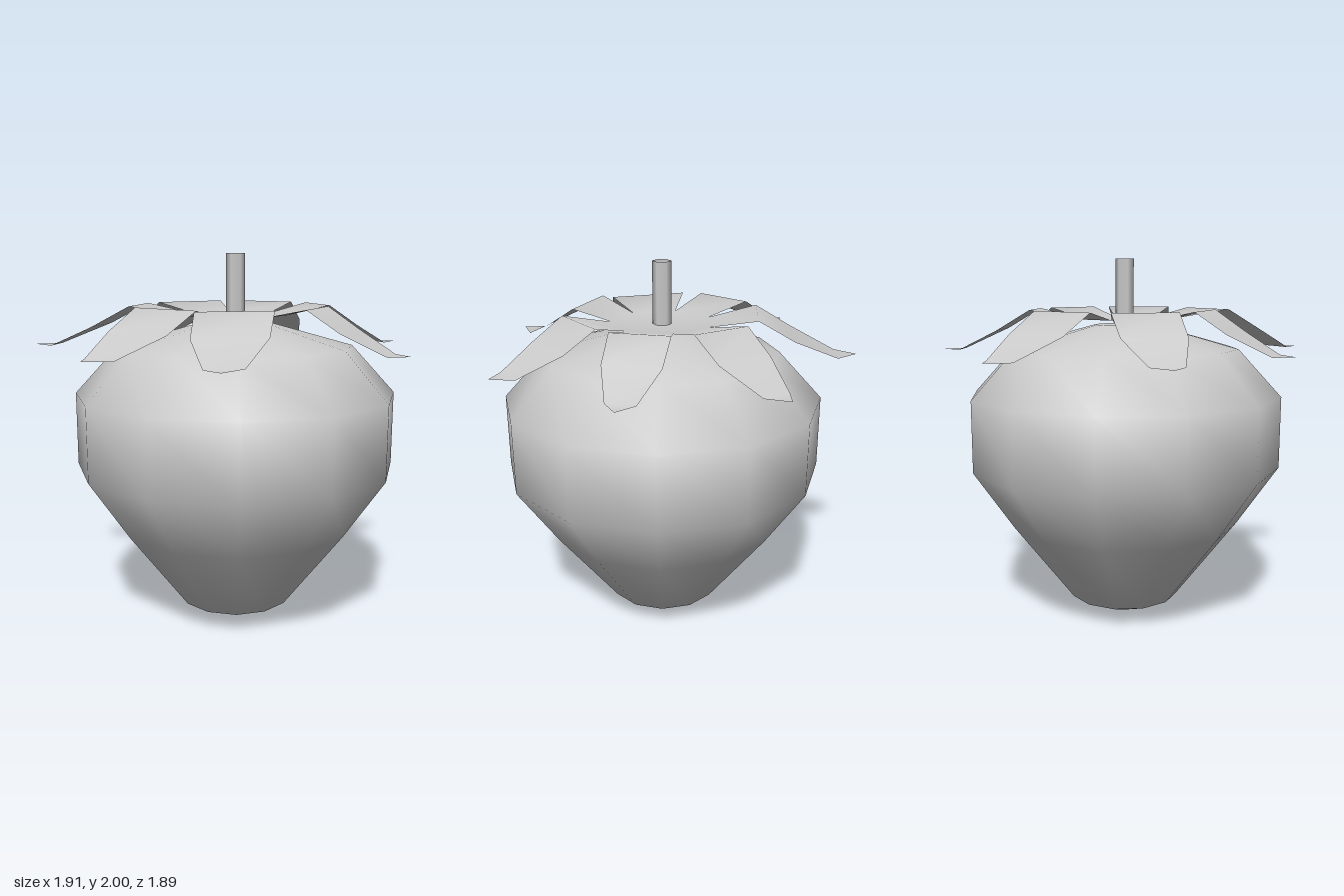
import * as THREE from 'three';

const CX = -0.01, CZ = 0.085; // axis of fruit and stem

const material = () => new THREE.MeshStandardMaterial({ color: 0xcccccc, side: THREE.DoubleSide });

// Twelve-sided smooth fruit body
function createFruit() {
  const profile = [
    [0, 0], [0.04, 0], [0.305, 0.11], [0.64, 0.55], [0.86, 0.875],
    [0.86, 1.265], [0.625, 1.52], [0.16, 1.648], [0, 1.65],
  ].map(([r, y]) => new THREE.Vector2(r, y));
  const fruit = new THREE.Mesh(new THREE.LatheGeometry(profile, 12), material());
  fruit.name = 'fruit';
  fruit.position.set(CX, 0, CZ);
  return fruit;
}

// Open six-sided stem
function createStem() {
  const stem = new THREE.Mesh(new THREE.CylinderGeometry(0.05, 0.05, 0.35, 6, 1, true), material());
  stem.name = 'stem';
  stem.position.set(CX, 1.825, CZ);
  return stem;
}

// One thin sheet: a dished centre with seven pointed leaves
function createLeaves() {
  // tip x, tip z, heading of the blade, full width
  const leaves = [
    [0.48, 0.91, 0.61, 0.36],
    [0.95, 0.26, 1.36, 0.31],
    [0.80, -0.52, 2.16, 0.32],
    [-0.01, -0.95, 3.11, 0.40],
    [-0.87, -0.63, 3.96, 0.34],
    [-0.96, 0.27, 5.04, 0.42],
    [-0.60, 0.93, 5.95, 0.39],
  ];
  // fraction along the leaf, width factor, height
  const sections = [[0.32, 1, 1.73], [0.56, 0.95, 1.62], [0.86, 0.48, 1.51]];
  const n = leaves.length;
  const positions = [CX, 1.67, CZ];
  const index = [];
  const add = (x, y, z) => positions.push(x, y, z) / 3 - 1;

  // Notches between neighbouring leaves
  const notch = leaves.map((_, k) => {
    const a = (k / n) * Math.PI * 2;
    return new THREE.Vector2(CX + 0.272 * Math.sin(a), CZ - 0.003 + 0.272 * Math.cos(a));
  });
  const notchId = notch.map((p) => add(p.x, 1.68, p.y));

  leaves.forEach(([tx, tz, heading, width], k) => {
    const next = (k + 1) % n;
    const base = notch[k].clone().add(notch[next]).multiplyScalar(0.5);
    const tip = new THREE.Vector2(tx, tz);
    let a = notchId[k], b = notchId[next];
    index.push(0, a, b);
    for (const [t, w, y] of sections) {
      const mid = base.clone().lerp(tip, t);
      const dx = Math.cos(heading) * width * w / 2;
      const dz = -Math.sin(heading) * width * w / 2;
      const c = add(mid.x - dx, y, mid.y - dz);
      const d = add(mid.x + dx, y, mid.y + dz);
      index.push(a, c, b, b, c, d);
      a = c;
      b = d;
    }
    index.push(a, add(tx, 1.51, tz), b);
  });

  const geometry = new THREE.BufferGeometry();
  geometry.setAttribute('position', new THREE.Float32BufferAttribute(positions, 3));
  geometry.setIndex(index);
  geometry.computeVertexNormals();
  const mesh = new THREE.Mesh(geometry, material());
  mesh.name = 'leaves';
  return mesh;
}

export function createModel() {
  const model = new THREE.Group();
  model.name = 'strawberry';
  model.add(createFruit(), createStem(), createLeaves());
  return model;
}
